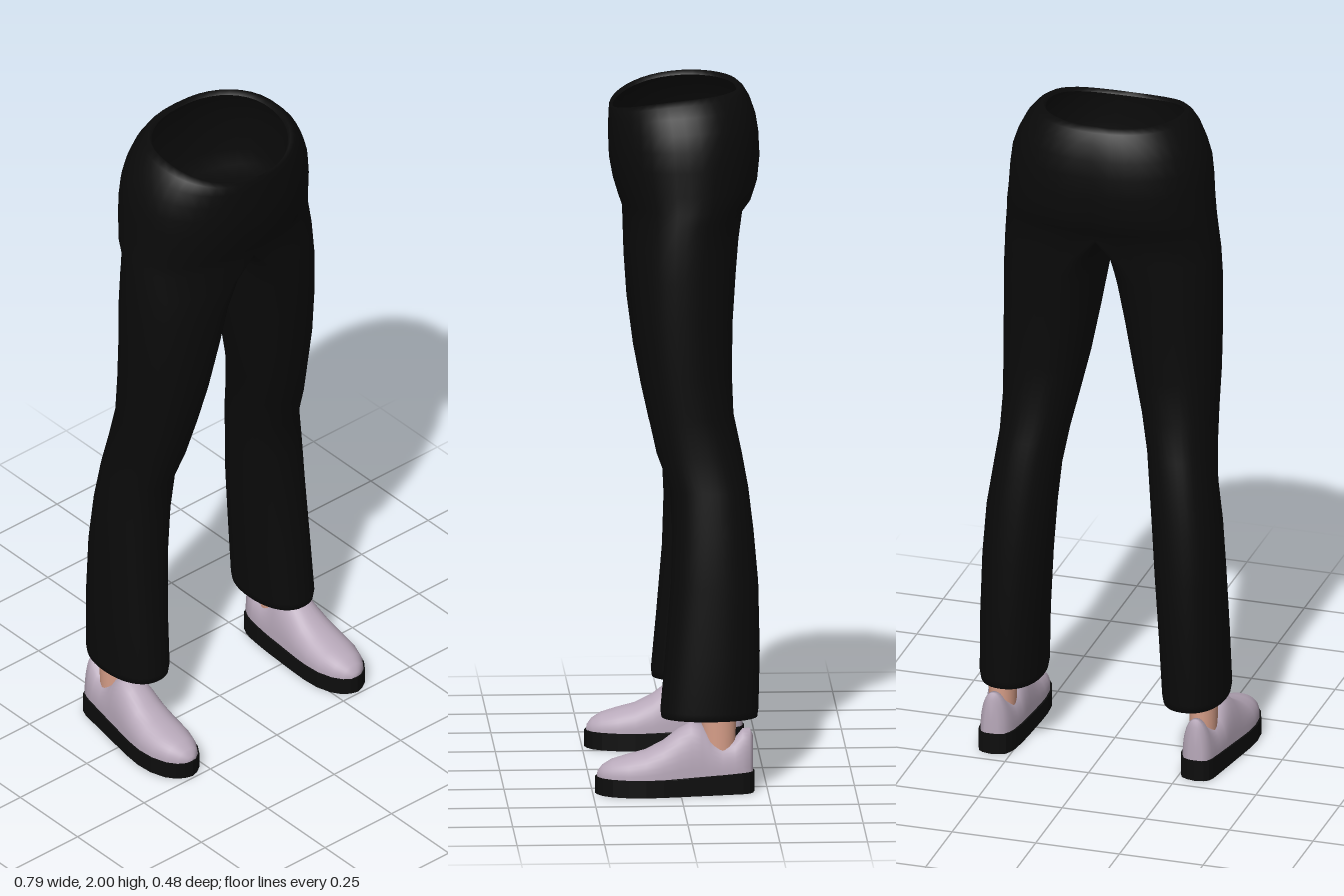
import * as THREE from 'three';
import { mergeGeometries, mergeVertices } from 'three/addons/utils/BufferGeometryUtils.js';

const cloth = new THREE.MeshStandardMaterial({ color: 0x0a0a0a, side: THREE.DoubleSide });
cloth.name = 'black cloth';
const rubber = new THREE.MeshStandardMaterial({ color: 0x0d0d0d });
rubber.name = 'black rubber';
const leather = new THREE.MeshStandardMaterial({ color: 0xb8a9ba, side: THREE.DoubleSide });
leather.name = 'pale lilac leather';
const skin = new THREE.MeshStandardMaterial({ color: 0xd9a08a });
skin.name = 'skin';

const SEG = 40;
const soft = (v, p) => Math.sign(v) * Math.abs(v) ** p;

// Leg sections: y, inner x, outer x, front z, back z, x of the front and back crease
const legRows = [
  [0.24, 0.205, 0.34, 0.03, -0.2, 0.272],
  [0.212, 0.195, 0.35, 0.042, -0.212, 0.272],
  [0.213, 0.184, 0.361, 0.052, -0.222, 0.272],
  [0.235, 0.18, 0.365, 0.055, -0.225, 0.272],
  [0.4, 0.173, 0.362, 0.04, -0.229, 0.268],
  [0.6, 0.16, 0.355, 0.024, -0.225, 0.258],
  [0.75, 0.149, 0.345, 0.02, -0.212, 0.247],
  [0.87, 0.138, 0.328, 0.026, -0.198, 0.233],
  [0.97, 0.124, 0.317, 0.063, -0.18, 0.22],
  [1.08, 0.1, 0.315, 0.087, -0.157, 0.205],
  [1.2, 0.073, 0.318, 0.11, -0.153, 0.19],
  [1.35, 0.045, 0.319, 0.13, -0.157, 0.165],
  [1.48, 0.022, 0.319, 0.14, -0.167, 0.13],
  [1.57, 0.008, 0.316, 0.145, -0.177, 0.075],
  [1.645, 0, 0.31, 0.15, -0.192, 0],
];

// Hip sections: y, half width, front z, back z, y at the front
const hipRows = [
  [1.68, 0.306, 0.162, -0.218, 1.68],
  [1.73, 0.3, 0.177, -0.234, 1.73],
  [1.8, 0.295, 0.188, -0.241, 1.79],
  [1.86, 0.288, 0.19, -0.238, 1.84],
  [1.91, 0.272, 0.19, -0.23, 1.88],
  [1.955, 0.25, 0.189, -0.215, 1.915],
  [1.985, 0.225, 0.187, -0.197, 1.937],
  [1.998, 0.205, 0.183, -0.183, 1.945],
  [1.985, 0.197, 0.176, -0.174, 1.935],
];

// One half of the trousers: a closed ring for the leg, an open half ring over the hip
function trouserHalf(side) {
  const pos = [], index = [];
  for (const [y, xi, xo, zf, zb, xc] of legRows) {
    for (let i = 0; i < SEG; i++) {
      const u = (i / SEG) * Math.PI * 2, s = soft(Math.sin(u), 0.88), c = soft(Math.cos(u), 0.92);
      const x = s > 0 ? xc + (xo - xc) * s : xc + (xc - xi) * s;
      const sag = y > 1.6 && s < 0 ? 0.03 * s : 0;
      pos.push(side * (Math.abs(x) < 1e-6 ? 0 : x), y + sag, (zf + zb) / 2 + ((zf - zb) / 2) * c);
    }
  }
  for (const [yb, w, zf, zb, yf] of hipRows) {
    for (let i = 0; i < SEG; i++) {
      const u = (Math.min(i, SEG / 2) / SEG) * Math.PI * 2;
      const c = soft(Math.cos(u), 0.92), k = ((1 + c) / 2) ** 3;
      const x = i >= SEG / 2 ? 0 : w * soft(Math.sin(u), 0.88);
      pos.push(side * x, yb + (yf - yb) * k, (zf + zb) / 2 + ((zf - zb) / 2) * c);
    }
  }
  for (let r = 0; r < legRows.length + hipRows.length - 1; r++) {
    const n = r < legRows.length - 1 ? SEG : SEG / 2;
    for (let i = 0; i < n; i++) {
      const j = (i + 1) % SEG;
      const a = r * SEG + i, b = r * SEG + j, c = b + SEG, d = a + SEG;
      if (side > 0) index.push(a, b, c, a, c, d);
      else index.push(a, c, b, a, d, c);
    }
  }
  const g = new THREE.BufferGeometry();
  g.setAttribute('position', new THREE.Float32BufferAttribute(pos, 3));
  g.setIndex(index);
  return g;
}

// Shoe stations from heel to toe: z, inner x, outer x, height
const shoeRows = [
  [-0.207, 0.285, 0.325, 0.165],
  [-0.198, 0.268, 0.338, 0.185],
  [-0.178, 0.258, 0.346, 0.182],
  [-0.155, 0.252, 0.35, 0.152],
  [-0.12, 0.248, 0.356, 0.142],
  [-0.085, 0.245, 0.362, 0.16],
  [-0.06, 0.243, 0.366, 0.2],
  [-0.03, 0.242, 0.371, 0.203],
  [0.005, 0.24, 0.377, 0.185],
  [0.05, 0.238, 0.384, 0.15],
  [0.1, 0.237, 0.389, 0.124],
  [0.15, 0.241, 0.385, 0.111],
  [0.195, 0.255, 0.37, 0.098],
  [0.222, 0.273, 0.35, 0.082],
  [0.236, 0.293, 0.328, 0.064],
];

// Arched shoe upper, closed to a point at heel and toe
function upperGeometry() {
  const N = 20, pos = [], index = [];
  const first = shoeRows[0], last = shoeRows[shoeRows.length - 1];
  const rows = [[first[0] - 0.001, 0.305, 0.305, 0.1], ...shoeRows, [last[0] + 0.002, 0.31, 0.31, 0.05]];
  for (const [z, xi, xo, h] of rows) {
    for (let i = 0; i <= N; i++) {
      const a = (i / N) * Math.PI;
      pos.push((xi + xo) / 2 + ((xo - xi) / 2) * soft(Math.cos(a), 0.9),
        0.045 + (h - 0.045) * soft(Math.sin(a), 0.8), z);
    }
  }
  for (let r = 0; r < rows.length - 1; r++) {
    for (let i = 0; i < N; i++) {
      const a = r * (N + 1) + i, d = a + N + 1;
      index.push(a, a + 1, d + 1, a, d + 1, d);
    }
  }
  const g = new THREE.BufferGeometry();
  g.setAttribute('position', new THREE.Float32BufferAttribute(pos, 3));
  g.setIndex(index);
  g.computeVertexNormals();
  return g;
}

// Flat sole following the outline of the shoe, a little thicker at the heel
function soleGeometry() {
  const rim = 0.005;
  const outer = shoeRows.map(([z, , xo]) => new THREE.Vector2(xo + rim, z));
  const inner = shoeRows.map(([z, xi]) => new THREE.Vector2(xi - rim, z)).reverse();
  const shape = new THREE.Shape([...outer, new THREE.Vector2(0.31, 0.243), ...inner, new THREE.Vector2(0.305, -0.212)]);
  const g = new THREE.ExtrudeGeometry(shape, { depth: 0.05, bevelEnabled: false });
  g.rotateX(Math.PI / 2).translate(0, 0.05, 0);
  const p = g.attributes.position;
  for (let i = 0; i < p.count; i++) {
    if (p.getY(i) > 0.04) p.setY(i, 0.05 + 0.012 * THREE.MathUtils.clamp(-p.getZ(i) / 0.2, 0, 1));
  }
  g.computeVertexNormals();
  return g;
}

// Copy a geometry to the other side, turning its faces round
function mirrored(geometry) {
  const g = geometry.index ? geometry.toNonIndexed() : geometry.clone();
  for (const name of ['position', 'normal']) {
    const a = g.attributes[name];
    for (let i = 0; i < a.count; i++) a.setX(i, -a.getX(i));
  }
  g.setIndex(Array.from({ length: g.attributes.position.count }, (_, i) => i - (i % 3) + [0, 2, 1][i % 3]));
  return g;
}

export function createModel() {
  const model = new THREE.Group();
  model.name = 'trousersAndShoes';
  const add = (name, geometry, material, parent = model) => {
    const mesh = new THREE.Mesh(geometry, material);
    mesh.name = name;
    parent.add(mesh);
  };

  const trousers = mergeVertices(mergeGeometries([trouserHalf(1), trouserHalf(-1)]), 1e-5);
  trousers.computeVertexNormals();
  add('trousers', trousers, cloth);

  // Ankle, upper and sole of each foot
  const ankle = new THREE.CylinderGeometry(0.05, 0.042, 0.26, 20, 1);
  ankle.scale(0.9, 1, 1.1).translate(0.3, 0.23, -0.11);
  const parts = [['Ankle', ankle, skin], ['ShoeUpper', upperGeometry(), leather], ['ShoeSole', soleGeometry(), rubber]];
  for (const side of ['left', 'right']) {
    const foot = new THREE.Group();
    foot.name = side + 'Foot';
    for (const [name, g, material] of parts) add(side + name, side === 'left' ? g : mirrored(g), material, foot);
    model.add(foot);
  }
  return model;
}
